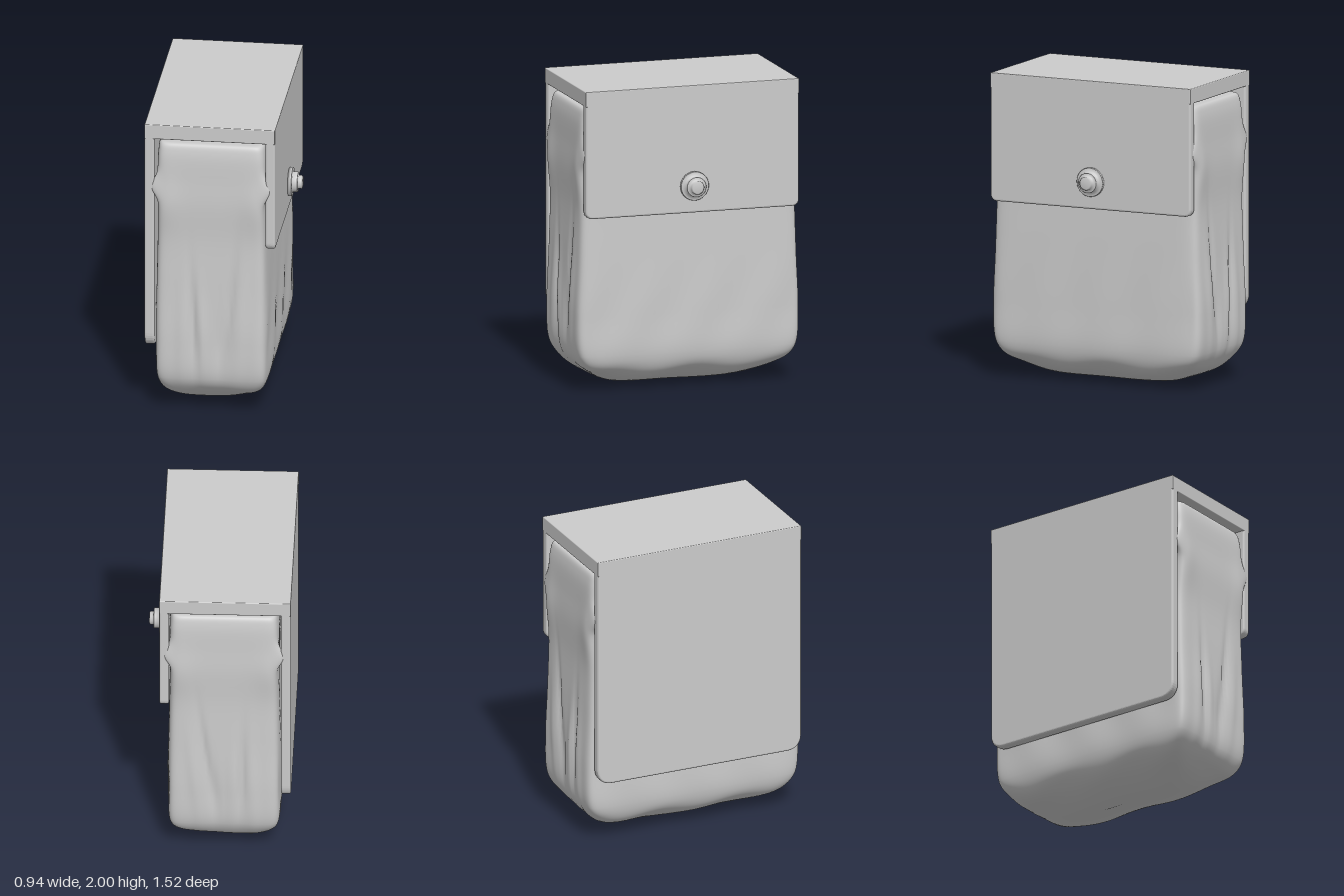
import * as THREE from 'three';
import { RoundedBoxGeometry } from 'three/addons/geometries/RoundedBoxGeometry.js';

const material = new THREE.MeshStandardMaterial({ color: 0xcccccc, side: THREE.DoubleSide });
const CENTRE_X = -0.038;

function add(group, name, geometry) {
  const mesh = new THREE.Mesh(geometry, material);
  mesh.name = name;
  group.add(mesh);
  return mesh;
}

const bell = (v, centre, width) => Math.exp(-(((v - centre) / width) ** 2));

// Folds of the cloth on the narrow ends: [x, lean, y centre, y spread, width, depth]
const FOLDS = [
  [-0.15, -0.04, 0.65, 0.32, 0.022, -0.022],
  [-0.10, -0.03, 0.55, 0.28, 0.04, 0.014],
  [-0.22, 0.02, 0.5, 0.35, 0.04, 0.012],
  [0.08, 0.11, 0.75, 0.35, 0.022, -0.02],
  [0.02, 0.05, 0.5, 0.2, 0.022, -0.014],
  [0.15, 0.09, 0.6, 0.35, 0.04, 0.012],
];

function endOffset(x, y) {
  let d = 0;
  for (const [fx, lean, fy, spread, width, depth] of FOLDS) {
    d += depth * bell(x, fx + lean * (y - fy), width) * bell(y, fy, spread);
  }
  const side = bell(Math.abs(x - CENTRE_X), 0.3, 0.1);
  return d + side * (0.012 * bell(y, 1.45, 0.18) + 0.008 * bell(y, 0.45, 0.25));
}

// Soft pouch, lofted through rounded rectangles from the bottom to the top
function pouchGeometry() {
  // (half width, height, half depth)
  const profile = new THREE.CatmullRomCurve3([
    [0.01, 0, 0.3], [0.1, 0.012, 0.42], [0.19, 0.04, 0.52], [0.28, 0.09, 0.62],
    [0.335, 0.15, 0.69], [0.362, 0.24, 0.737], [0.366, 0.5, 0.748], [0.362, 0.9, 0.74],
    [0.357, 1.2, 0.733], [0.355, 1.45, 0.74], [0.357, 1.6, 0.735], [0.353, 1.8, 0.725],
    [0.34, 1.863, 0.705], [0.3, 1.87, 0.66],
  ].map((p) => new THREE.Vector3(...p)));
  const rows = 104, perSide = 48, ring = perSide * 4;
  const pos = [], index = [];
  for (let r = 0; r <= rows; r++) {
    const p = profile.getPoint(r / rows);
    const n = 3 + 13 * THREE.MathUtils.smoothstep(p.y, 0, 0.25);
    for (let i = 0; i < ring; i++) {
      const side = Math.floor(i / perSide);
      const a = Math.sin((((i % perSide) / perSide) * 2 - 1) * Math.PI / 2);
      const [u, v] = [[a, 1], [1, -a], [-a, -1], [-1, a]][side];
      const s = (Math.abs(u) ** n + Math.abs(v) ** n) ** (-1 / n);
      let x = u * s * p.x, z = v * s * p.z, y = p.y;
      const end = THREE.MathUtils.smoothstep(Math.abs(v * s), 0.9, 0.98);
      const edge = THREE.MathUtils.smoothstep(Math.abs(u * s), 0.8, 0.96);
      z += Math.sign(v) * end * endOffset(x + CENTRE_X, y);
      // pinched ears beside the flap, and faint slanting drapes on the broad sides
      x += Math.sign(u) * end * edge * 0.055 * bell(y, 1.57, 0.075);
      x += Math.sign(u) * edge * (1 - end) * 0.005 * bell(y, 0.5, 0.25) * Math.sin(z * 15 + y * 5);
      // uneven underside
      y += 0.01 * bell(y, 0.1, 0.07) * Math.sin(z * 11 + x * 7);
      pos.push(x + CENTRE_X, y, z);
    }
  }
  for (let r = 0; r < rows; r++) {
    for (let i = 0; i < ring; i++) {
      const a = r * ring + i, b = r * ring + (i + 1) % ring;
      index.push(a, b, a + ring, b, b + ring, a + ring);
    }
  }
  // caps
  const bottom = pos.length / 3, top = bottom + 1, last = rows * ring;
  pos.push(CENTRE_X, 0.004, 0, CENTRE_X, 1.872, 0);
  for (let i = 0; i < ring; i++) {
    const j = (i + 1) % ring;
    index.push(bottom, j, i, top, last + i, last + j);
  }
  const g = new THREE.BufferGeometry();
  g.setAttribute('position', new THREE.Float32BufferAttribute(pos, 3));
  g.setIndex(index);
  g.computeVertexNormals();
  return g;
}

// Upright board in the yz plane with rounded lower corners
function panelGeometry(x0, x1, bottom, radius) {
  const bevel = 0.014, h = 0.725 - bevel, y0 = bottom + bevel, y1 = 1.98;
  const shape = new THREE.Shape();
  shape.moveTo(-h, y1);
  shape.lineTo(-h, y0 + radius);
  shape.quadraticCurveTo(-h, y0, -h + radius, y0);
  shape.lineTo(h - radius, y0);
  shape.quadraticCurveTo(h, y0, h, y0 + radius);
  shape.lineTo(h, y1);
  const g = new THREE.ExtrudeGeometry(shape, {
    depth: x1 - x0 - 2 * bevel, bevelSize: bevel, bevelThickness: bevel, bevelSegments: 4, curveSegments: 10,
  });
  g.rotateY(Math.PI / 2);
  g.translate(x0 + bevel, 0, 0);
  return g;
}

export function createModel() {
  const model = new THREE.Group();
  model.name = 'pouch';

  add(model, 'softBody', pouchGeometry());

  // Stiff cover: lid, long back board and short closing flap
  const cover = new THREE.Group();
  cover.name = 'cover';
  model.add(cover);
  add(cover, 'lid', new RoundedBoxGeometry(0.85, 0.1, 1.45, 2, 0.006)).position.set(-0.045, 1.95, 0);
  add(cover, 'backBoard', panelGeometry(-0.47, -0.405, 0.435, 0.09));
  add(cover, 'closingFlap', panelGeometry(0.317, 0.38, 1.16, 0.035));

  // Stepped snap button
  const steps = [
    [0, 0], [0.095, 0], [0.095, 0.023], [0.092, 0.026], [0.066, 0.026], [0.066, 0.058],
    [0.063, 0.061], [0.044, 0.061], [0.044, 0.082], [0.036, 0.09], [0, 0.09],
  ].map(([r, h]) => new THREE.Vector2(r, h));
  const button = add(model, 'snapButton', new THREE.LatheGeometry(steps, 40));
  button.rotation.z = -Math.PI / 2;
  button.position.set(0.379, 1.34, -0.008);

  return model;
}
